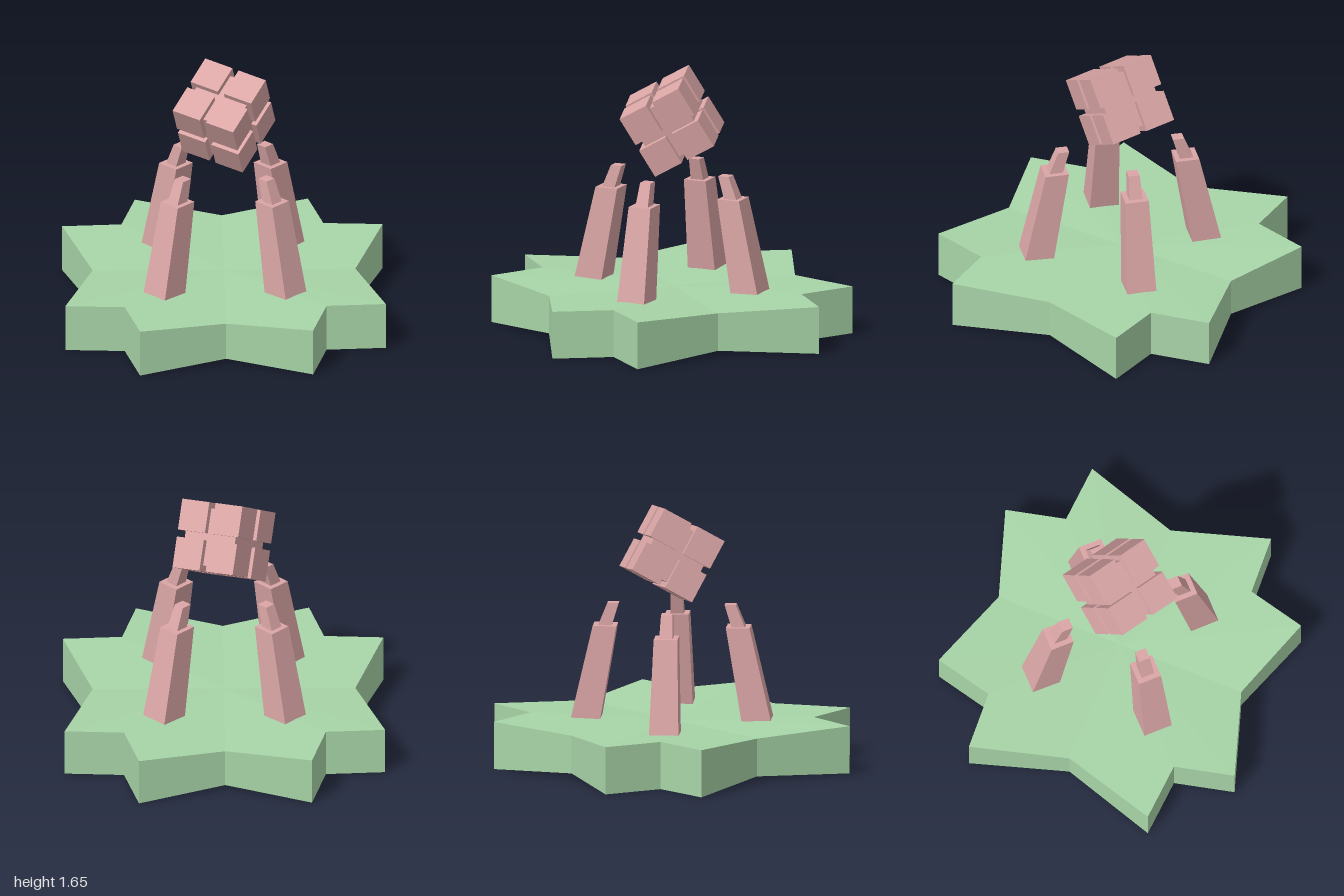
import * as THREE from 'three';

const green = new THREE.MeshStandardMaterial({ color: 0xa8d5a8, flatShading: true, side: THREE.DoubleSide });
const pink = new THREE.MeshStandardMaterial({ color: 0xdba6a6, flatShading: true, side: THREE.DoubleSide });

// Joins closed rings of points from bottom to top, with a fan cap on top and an open bottom.
function loft(rings, capCentre) {
  const pos = [];
  const tri = (...pts) => pts.forEach((p) => pos.push(...p));
  const n = rings[0].length;
  for (let r = 0; r < rings.length - 1; r++) {
    for (let i = 0; i < n; i++) {
      const j = (i + 1) % n;
      const lo = rings[r], hi = rings[r + 1];
      tri(lo[i], hi[i], lo[j]);
      tri(lo[j], hi[i], hi[j]);
    }
  }
  const top = rings[rings.length - 1];
  for (let i = 0; i < n; i++) tri(top[i], capCentre, top[(i + 1) % n]);
  const geo = new THREE.BufferGeometry();
  geo.setAttribute('position', new THREE.Float32BufferAttribute(pos, 3));
  geo.computeVertexNormals();
  return geo;
}

// Eight-pointed star base, thinner at the four notches on the axes, open underneath
function starGeometry() {
  const quarter = [[0.82, 0], [1, 0.605], [0.63, 0.627], [0.54, 1], [0, 0.82]];
  const outline = [];
  for (const [sx, sz] of [[1, 1], [-1, 1], [-1, -1], [1, -1]]) {
    const pts = sx * sz > 0 ? quarter : [...quarter].reverse();
    pts.slice(0, 4).forEach(([x, z]) => outline.push([x * sx, z * sz]));
  }
  const isNotch = ([x, z]) => Math.abs(x * z) < 1e-6;
  const ring = (corner, notch) => outline.map((p) => [p[0], isNotch(p) ? notch : corner, p[1]]);
  return loft([ring(0, 0.03), ring(0.3, 0.27)], [0, 0.27, 0]);
}

// Leaning leg on the diagonal: each ring is [offset, height, half diagonal]
function legGeometry() {
  const profile = [[0.382, 0.255, 0.132], [0.295, 0.87, 0.105], [0.295, 0.87, 0.06], [0.26, 1.01, 0.05]];
  const rings = profile.map(([c, y, r]) => [0, 1, 2, 3].map((k) => {
    const a = (k * Math.PI) / 2;
    return [c + r * Math.cos(a), y, c + r * Math.sin(a)];
  }));
  return loft(rings, [0.26, 1.01, 0.26]);
}

export function createModel() {
  const model = new THREE.Group();
  const add = (parent, name, geo, mat) => {
    const mesh = new THREE.Mesh(geo, mat);
    mesh.name = name;
    parent.add(mesh);
    return mesh;
  };

  add(model, 'starBase', starGeometry(), green);

  // Four legs, one on each diagonal
  const legs = new THREE.Group();
  legs.name = 'legs';
  const legGeo = legGeometry();
  for (let i = 0; i < 4; i++) add(legs, 'leg', legGeo, pink).rotation.y = (i * Math.PI) / 2;
  model.add(legs);

  // Floating tilted cube split into eight blocks around a core
  const cube = new THREE.Group();
  cube.name = 'floatingCube';
  const side = 0.433, gap = 0.044, block = (side - gap) / 2;
  const blockGeo = new THREE.BoxGeometry(block, block, block);
  const d = (block + gap) / 2;
  for (const x of [-d, d]) for (const y of [-d, d]) for (const z of [-d, d]) {
    add(cube, 'block', blockGeo, pink).position.set(x, y, z);
  }
  add(cube, 'core', new THREE.BoxGeometry(0.36, 0.36, 0.36), pink);
  cube.position.set(0, 1.325, 0);
  cube.rotation.set(0.603, -0.504, 0.17);
  model.add(cube);

  return model;
}
